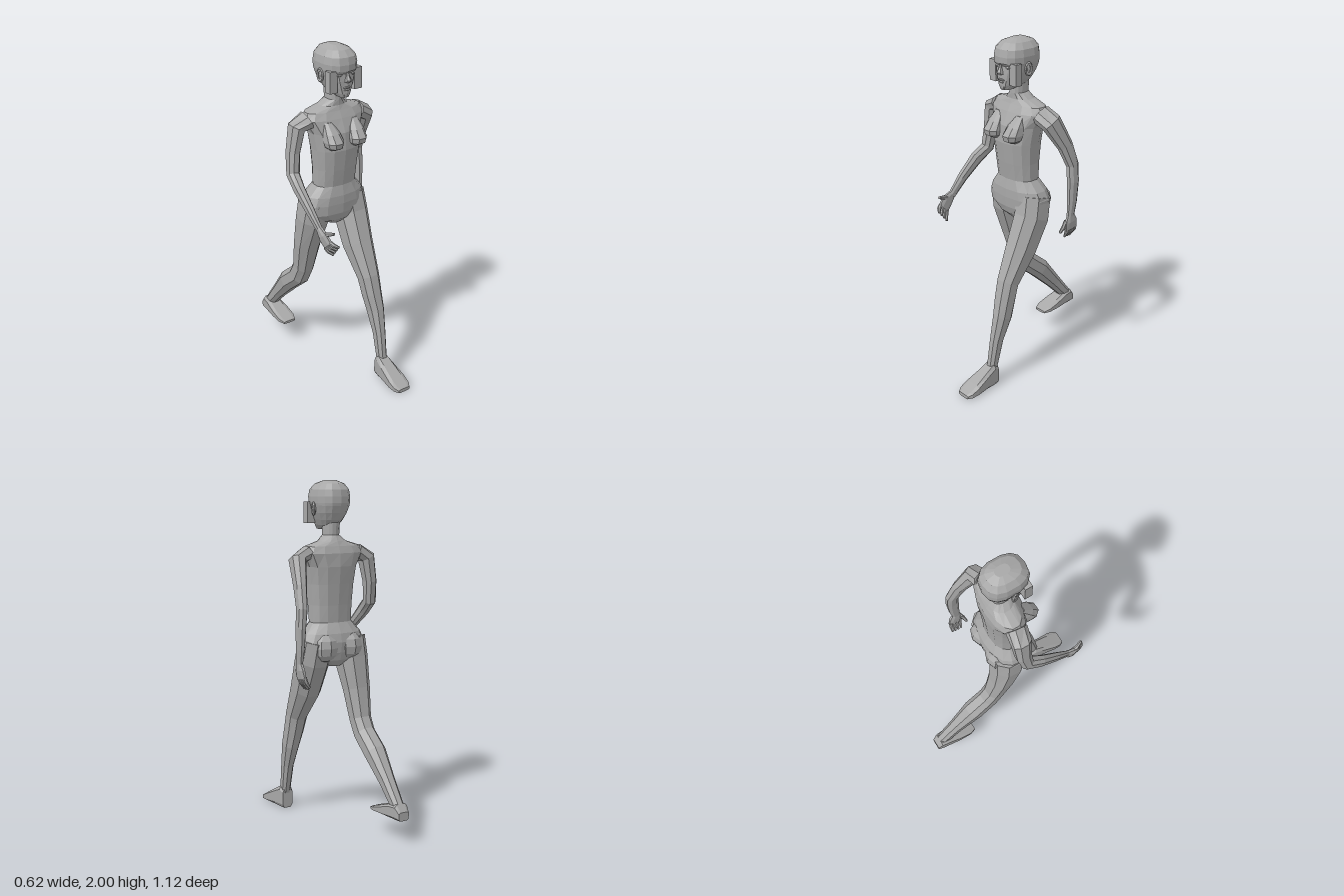
import * as THREE from 'three';

const skin = new THREE.MeshStandardMaterial({ color: 0xa8a8a8 });
skin.name = 'plain grey';

const X = new THREE.Vector3(1, 0, 0), Y = new THREE.Vector3(0, 1, 0), Z = new THREE.Vector3(0, 0, 1);

// Faceted mesh with flat normals
function facet(name, geometry) {
  const g = geometry.index ? geometry.toNonIndexed() : geometry;
  g.computeVertexNormals();
  const mesh = new THREE.Mesh(g, skin);
  mesh.name = name;
  return mesh;
}

// Closed skin over rings [x, y, z, half width, half depth]; rings follow the path unless an axis is fixed
function loft(name, rings, { sides = 8, square = 0.85, axis = null } = {}) {
  const centres = rings.map(r => new THREE.Vector3(r[0], r[1], r[2]));
  const last = rings.length - 1, pos = [], idx = [];
  const soften = v => Math.sign(v) * Math.pow(Math.abs(v), square);
  rings.forEach((r, k) => {
    const t = axis ? axis.clone()
      : centres[Math.min(k + 1, last)].clone().sub(centres[Math.max(k - 1, 0)]).normalize();
    const u = X.clone().addScaledVector(t, -X.dot(t)).normalize();
    const v = t.clone().cross(u);
    for (let i = 0; i < sides; i++) {
      const a = (i + 0.5) / sides * Math.PI * 2;
      const p = centres[k].clone()
        .addScaledVector(u, r[3] * soften(Math.cos(a)) * 1.04)
        .addScaledVector(v, r[4] * soften(Math.sin(a)) * 1.04);
      pos.push(p.x, p.y, p.z);
    }
  });
  for (let k = 0; k < last; k++) for (let i = 0; i < sides; i++) {
    const j = (i + 1) % sides, a = k * sides + i, b = k * sides + j;
    idx.push(a, b, b + sides, a, b + sides, a + sides);
  }
  const top = last * sides;
  for (let i = 1; i < sides - 1; i++) {
    idx.push(0, i + 1, i);
    idx.push(top, top + i, top + i + 1);
  }
  const g = new THREE.BufferGeometry();
  g.setAttribute('position', new THREE.Float32BufferAttribute(pos, 3));
  g.setIndex(idx);
  return facet(name, g);
}

// Upright body from rows [y, half width, front z, back z]
const upright = (name, rows, opts) => loft(name,
  rows.map(([y, w, f, b]) => [0, y, (f + b) / 2, w, (f - b) / 2]), { axis: Y, ...opts });

// Foot from rows [z, half width, height] standing on a sole level
const foot = (name, x, sole, rows) => loft(name,
  rows.map(([z, w, h]) => [x, sole + h / 2, z, w, h / 2]), { axis: Z, square: 0.5 });

// Tapered finger from knuckle through a slightly bent joint to the tip
function finger(name, from, to, r) {
  const mid = from.map((v, i) => (v + to[i]) / 2);
  mid[0] += Math.sign(mid[0]) * 0.006;
  return loft(name, [[...from, r, r], [...mid, r, r], [...to, r * 0.6, r * 0.6]], { sides: 6 });
}

function blob(name, p, s, ws = 8, hs = 6) {
  const g = new THREE.SphereGeometry(1, ws, hs);
  g.scale(...s);
  g.translate(...p);
  return facet(name, g);
}

function makeHead() {
  const head = new THREE.Group();
  head.name = 'head';
  head.add(upright('skull', [
    [1.725, 0.026, 0.132, 0.06], [1.75, 0.048, 0.138, -0.035], [1.78, 0.064, 0.138, -0.062],
    [1.82, 0.082, 0.138, -0.083], [1.86, 0.093, 0.136, -0.097], [1.875, 0.096, 0.148, -0.1],
    [1.91, 0.098, 0.15, -0.1], [1.95, 0.092, 0.142, -0.094], [1.983, 0.066, 0.11, -0.07],
    [2.0, 0.028, 0.055, -0.025]], { sides: 14, square: 0.78 }));
  // Face
  head.add(loft('nose', [[0, 1.815, 0.142, 0.018, 0.02], [0, 1.826, 0.146, 0.016, 0.024],
    [0, 1.85, 0.14, 0.009, 0.016], [0, 1.875, 0.138, 0.008, 0.01]], { axis: Y, sides: 6 }));
  head.add(blob('upperLip', [0, 1.783, 0.137], [0.024, 0.007, 0.012]));
  head.add(blob('lowerLip', [0, 1.77, 0.136], [0.02, 0.007, 0.011]));
  head.add(blob('chin', [0, 1.742, 0.125], [0.022, 0.016, 0.016]));
  for (const s of [1, -1]) {
    head.add(blob('eye', [s * 0.042, 1.855, 0.126], [0.02, 0.01, 0.014]));
    const ear = facet('ear', new THREE.TorusGeometry(0.022, 0.008, 5, 10));
    ear.scale.set(0.8, 1.4, 1);
    ear.rotation.y = s * (Math.PI / 2 - 0.3);
    ear.position.set(s * 0.1, 1.842, 0.03);
    head.add(ear, blob('innerEar', [s * 0.095, 1.842, 0.03], [0.01, 0.028, 0.015]));
    // Blocks beside the cheeks
    const block = facet('cheekBlock', new THREE.BoxGeometry(0.05, 0.12, 0.045));
    block.position.set(s * 0.081, 1.82, 0.107);
    head.add(block);
  }
  return head;
}

function makeTorso() {
  const torso = new THREE.Group();
  torso.name = 'torso';
  torso.add(upright('body', [
    [0.945, 0.04, 0.05, -0.06], [0.985, 0.13, 0.09, -0.095], [1.03, 0.195, 0.105, -0.105],
    [1.09, 0.197, 0.11, -0.11], [1.14, 0.175, 0.11, -0.1], [1.2, 0.125, 0.1, -0.07],
    [1.3, 0.128, 0.115, -0.075], [1.42, 0.138, 0.13, -0.085], [1.52, 0.152, 0.122, -0.095],
    [1.595, 0.19, 0.09, -0.092], [1.635, 0.17, 0.07, -0.078], [1.662, 0.08, 0.06, -0.065],
    [1.695, 0.041, 0.062, -0.045], [1.77, 0.042, 0.06, -0.052]], { sides: 14 }));
  for (const s of [1, -1]) {
    torso.add(loft('breast', [[s * 0.075, 1.435, 0.115, 0.02, 0.025], [s * 0.077, 1.455, 0.128, 0.045, 0.05],
      [s * 0.078, 1.485, 0.125, 0.052, 0.06], [s * 0.08, 1.53, 0.105, 0.045, 0.045],
      [s * 0.085, 1.585, 0.07, 0.025, 0.025]], { axis: Y }));
    torso.add(blob('buttock', [s * 0.082, 1.06, -0.065], [0.08, 0.085, 0.07]));
  }
  return torso;
}

export function createModel() {
  const model = new THREE.Group();
  model.name = 'walkingFigure';
  model.add(makeHead(), makeTorso());

  // Legs: left strides forward, right pushes off behind
  model.add(loft('leftLeg', [
    [0.108, 1.1, -0.005, 0.092, 0.098], [0.117, 0.98, 0.02, 0.093, 0.1], [0.114, 0.8, 0.1, 0.082, 0.09],
    [0.117, 0.62, 0.205, 0.06, 0.062], [0.122, 0.52, 0.232, 0.054, 0.06], [0.13, 0.42, 0.26, 0.046, 0.057],
    [0.128, 0.28, 0.305, 0.034, 0.04], [0.125, 0.1, 0.342, 0.028, 0.03]]));
  model.add(loft('rightLeg', [
    [-0.108, 1.1, -0.01, 0.092, 0.098], [-0.12, 0.98, -0.025, 0.092, 0.092], [-0.13, 0.8, -0.07, 0.076, 0.068],
    [-0.128, 0.63, -0.115, 0.06, 0.058], [-0.128, 0.55, -0.16, 0.058, 0.062], [-0.128, 0.46, -0.27, 0.06, 0.062],
    [-0.125, 0.32, -0.4, 0.042, 0.045], [-0.122, 0.19, -0.515, 0.034, 0.034]]));
  model.add(foot('leftFoot', 0.123, 0, [[0.315, 0.034, 0.12], [0.345, 0.042, 0.14], [0.4, 0.048, 0.11],
    [0.49, 0.058, 0.06], [0.535, 0.055, 0.035], [0.56, 0.04, 0.022]]));
  model.add(foot('rightFoot', -0.125, 0.135, [[-0.56, 0.034, 0.05], [-0.53, 0.043, 0.09], [-0.48, 0.048, 0.085],
    [-0.4, 0.055, 0.055], [-0.33, 0.055, 0.03], [-0.29, 0.04, 0.015]]));

  // Arms swing opposite to the legs
  model.add(loft('leftArm', [
    [0.165, 1.595, 0, 0.042, 0.06], [0.232, 1.56, -0.015, 0.045, 0.058], [0.262, 1.42, -0.095, 0.032, 0.045],
    [0.278, 1.3, -0.14, 0.027, 0.037], [0.286, 1.2, -0.14, 0.025, 0.037], [0.287, 1.08, -0.135, 0.02, 0.031],
    [0.286, 0.99, -0.125, 0.014, 0.024]]));
  model.add(loft('rightArm', [
    [-0.165, 1.595, 0, 0.042, 0.06], [-0.232, 1.56, -0.01, 0.045, 0.055], [-0.258, 1.42, -0.01, 0.036, 0.045],
    [-0.272, 1.3, 0.01, 0.034, 0.038], [-0.285, 1.24, 0.09, 0.028, 0.038], [-0.285, 1.15, 0.195, 0.022, 0.03],
    [-0.28, 1.06, 0.285, 0.014, 0.023]]));

  // Hands
  model.add(loft('leftPalm', [[0.286, 1.0, -0.125, 0.014, 0.024], [0.285, 0.96, -0.13, 0.016, 0.042],
    [0.28, 0.91, -0.138, 0.012, 0.044]]));
  model.add(loft('rightPalm', [[-0.281, 1.07, 0.277, 0.014, 0.023], [-0.282, 1.04, 0.315, 0.016, 0.04],
    [-0.274, 1.0, 0.35, 0.012, 0.04]]));
  for (let i = 0; i < 4; i++) {
    model.add(finger('leftFinger', [0.28, 0.925, -0.106 - i * 0.021],
      [0.25, 0.853 + (i === 3 ? 0.012 : 0), -0.118 - i * 0.019], 0.011));
    model.add(finger('rightFinger', [-0.276, 1.025 - i * 0.015, 0.37 - i * 0.015],
      [-0.242, 1.0 - i * 0.022, 0.408 - i * 0.018], 0.011));
  }
  model.add(finger('leftThumb', [0.278, 0.965, -0.1], [0.255, 0.89, -0.075], 0.012));
  model.add(finger('rightThumb', [-0.278, 1.055, 0.315], [-0.262, 1.08, 0.388], 0.012));
  return model;
}
